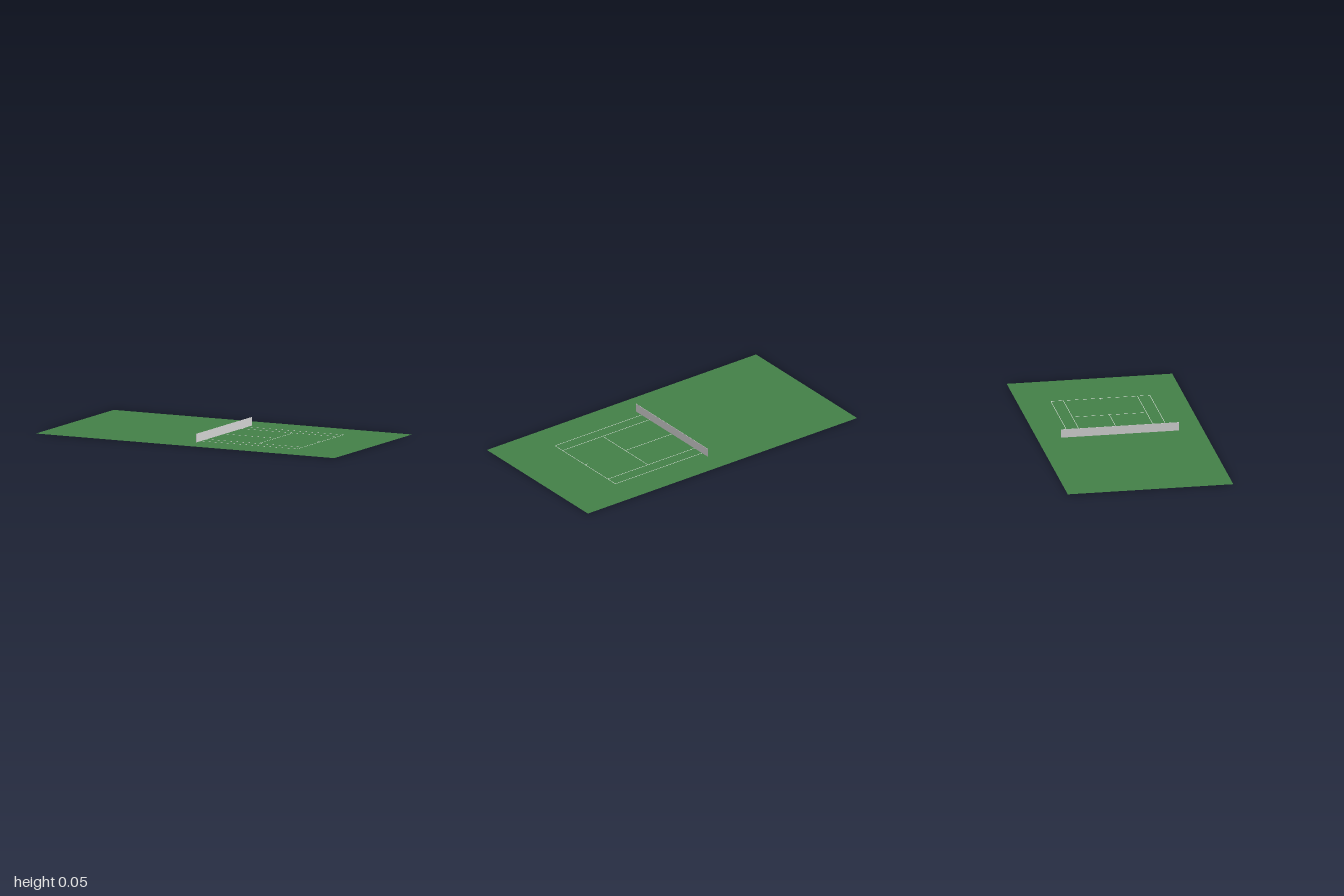
import * as THREE from 'three';

export function createModel() {
  const court = new THREE.Group();
  court.name = 'tennisCourt';

  const green = new THREE.MeshStandardMaterial({ color: 0x437f47, side: THREE.DoubleSide });
  green.name = 'court green';
  const white = new THREE.MeshStandardMaterial({ color: 0xffffff });
  white.name = 'line white';
  const grey = new THREE.MeshStandardMaterial({ color: 0xd0d0d0 });
  grey.name = 'net grey';

  const LINE = 0.0027;   // painted line width
  const THICK = 0.001;   // painted line thickness
  const BASE = 0.645;    // baseline distance from the net
  const SERVICE = 0.347; // service line distance from the net
  const DOUBLES = 0.299, SINGLES = 0.224;

  // Flat playing surface
  const ground = new THREE.Mesh(new THREE.PlaneGeometry(2, 1).rotateX(-Math.PI / 2), green);
  ground.name = 'ground';
  ground.position.y = THICK / 2;
  court.add(ground);

  // Painted lines, passing through the thin surface
  function addLine(name, x0, x1, z0, z1) {
    const geometry = new THREE.BoxGeometry(Math.max(x1 - x0, LINE), THICK, Math.max(z1 - z0, LINE));
    const line = new THREE.Mesh(geometry, white);
    line.name = name;
    line.position.set((x0 + x1) / 2, THICK / 2, (z0 + z1) / 2);
    court.add(line);
  }
  for (const side of [-1, 1]) {
    addLine('doublesSideline', 0, BASE, side * DOUBLES, side * DOUBLES);
    addLine('singlesSideline', 0, BASE, side * SINGLES, side * SINGLES);
  }
  addLine('baseline', BASE, BASE, -DOUBLES, DOUBLES);
  addLine('serviceLine', SERVICE, SERVICE, -SINGLES, SINGLES);
  addLine('centreServiceLine', 0, SERVICE, 0, 0);
  addLine('centreMark', BASE - 0.022, BASE, 0, 0);

  // Net across the middle
  const net = new THREE.Mesh(new THREE.BoxGeometry(0.002, 0.052, 0.714), grey);
  net.name = 'net';
  net.position.y = 0.026;
  court.add(net);

  return court;
}
